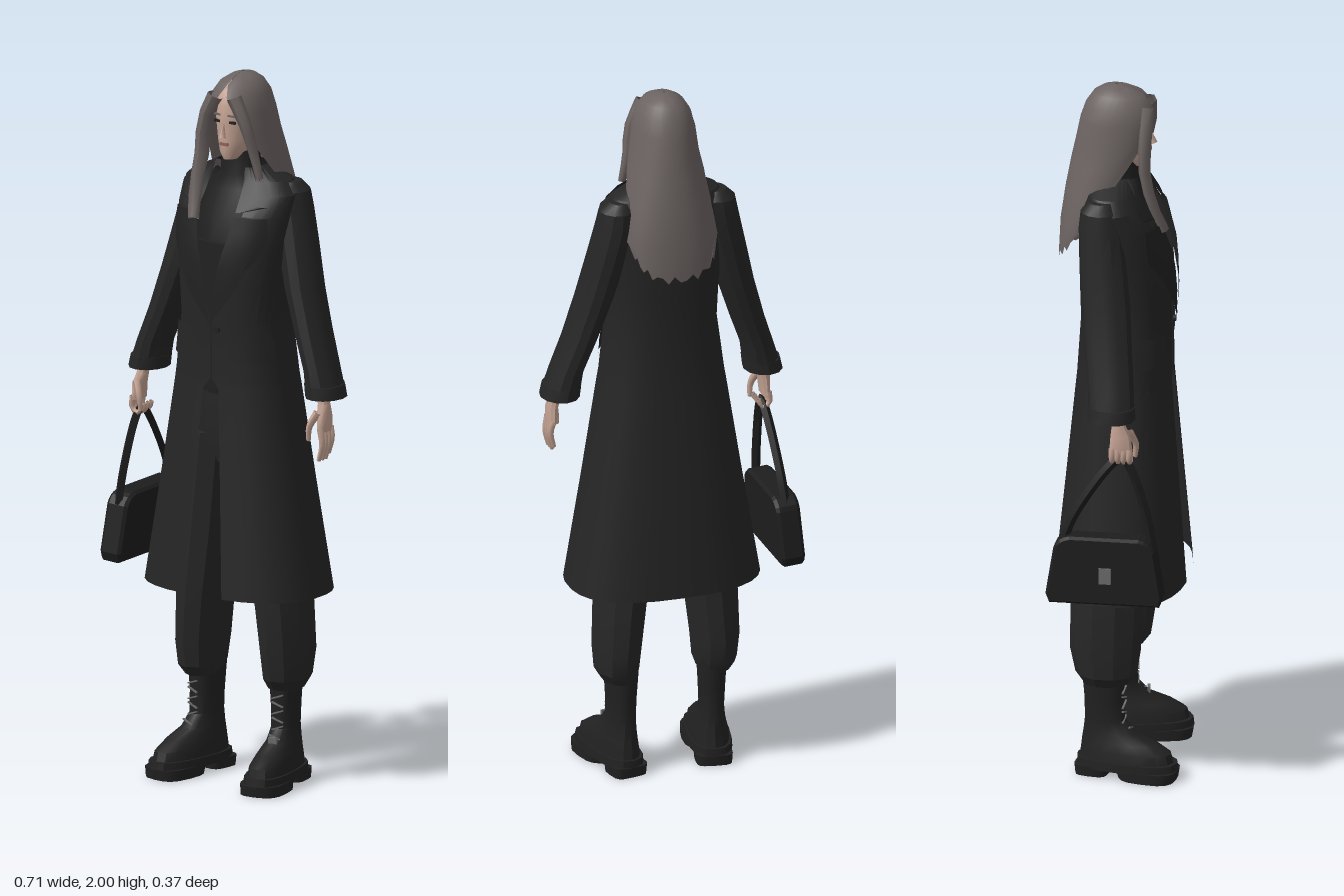
import * as THREE from 'three';
import { toCreasedNormals } from 'three/addons/utils/BufferGeometryUtils.js';

const mat = (name, color) => {
  const m = new THREE.MeshStandardMaterial({ color, side: THREE.DoubleSide });
  m.name = name;
  return m;
};
const M = {
  coat: mat('coat black', 0x252525), trim: mat('lapel black', 0x212121),
  knit: mat('knit black', 0x1f1f1f), trousers: mat('trouser black', 0x272727),
  boot: mat('boot black', 0x212121), hair: mat('ash hair', 0x6b6361),
  skin: mat('skin', 0xc4a393), bag: mat('bag black', 0x1d1d1d),
  metal: mat('dull metal', 0x6a6a6a), lip: mat('lip rose', 0x8e6258),
};

function add(parent, name, geo, material) {
  const mesh = new THREE.Mesh(geo, material);
  mesh.name = name;
  parent.add(mesh);
  return mesh;
}

// Skin over horizontal rings, bottom to top: [y, centreX, halfWidth, zBack, zFront, openingDegrees]
function loft(rings, { n = 16, e = 2, crease = 0.6, wave = null } = {}) {
  const pos = [], idx = [], open = rings.some(r => r[5]);
  const sp = v => Math.sign(v) * Math.abs(v) ** (2 / e);
  rings.forEach(([y, cx, rx, zb, zf, start = 0], i) => {
    const s = start * Math.PI / 180;
    for (let j = 0; j <= n; j++) {
      const a = s + (j / n) * (2 * Math.PI - 2 * s);
      const dy = wave ? wave(i, j) : 0;
      pos.push(cx + rx * sp(Math.sin(a)), y + dy, (zb + zf) / 2 + (zf - zb) / 2 * sp(Math.cos(a)));
    }
  });
  const w = n + 1;
  for (let i = 0; i < rings.length - 1; i++) for (let j = 0; j < n; j++) {
    const a = i * w + j, b = a + 1, c = a + w, d = c + 1;
    idx.push(a, b, d, a, d, c);
  }
  if (!open) for (const i of [0, rings.length - 1]) {
    const [y, cx, , zb, zf] = rings[i], c = pos.length / 3;
    pos.push(cx, y, (zb + zf) / 2);
    for (let j = 0; j < n; j++) i ? idx.push(c, i * w + j, i * w + j + 1) : idx.push(c, j + 1, j);
  }
  const g = new THREE.BufferGeometry();
  g.setAttribute('position', new THREE.Float32BufferAttribute(pos, 3));
  g.setIndex(idx);
  return toCreasedNormals(g, crease);
}

// Tapered limb through a few points
function taper(points, r0, r1, flat = 1) {
  const curve = new THREE.CatmullRomCurve3(points.map(p => new THREE.Vector3(...p)));
  const g = new THREE.TubeGeometry(curve, 6, 1, 6), p = g.attributes.position;
  for (let i = 0; i < p.count; i++) {
    const k = Math.floor(i / 7) / 6, c = curve.getPointAt(k), r = r0 + (r1 - r0) * k;
    p.setXYZ(i, c.x + (p.getX(i) - c.x) * r * flat, c.y + (p.getY(i) - c.y) * r, c.z + (p.getZ(i) - c.z) * r);
  }
  g.computeVertexNormals();
  return g;
}

const COAT = [
  [0.55, 0, 0.272, -0.185, 0.185, 10], [0.85, 0, 0.222, -0.155, 0.16, 8],
  [1.13, 0, 0.178, -0.128, 0.137, 5], [1.16, 0, 0.173, -0.125, 0.135, 0.3],
  [1.32, 0, 0.153, -0.115, 0.135, 0.3], [1.42, 0, 0.158, -0.118, 0.138, 6],
  [1.52, 0, 0.168, -0.12, 0.132, 13], [1.62, 0, 0.18, -0.115, 0.105, 20],
  [1.675, 0, 0.183, -0.107, 0.065, 22], [1.71, 0, 0.15, -0.098, 0.045, 28], [1.745, 0, 0.075, -0.075, 0.04, 50],
];

// Depth of the coat's front surface
function coatZ(x, y) {
  let i = 0;
  while (i < COAT.length - 2 && COAT[i + 1][0] < y) i++;
  const a = COAT[i], b = COAT[i + 1], k = (y - a[0]) / (b[0] - a[0]);
  const [rx, zb, zf] = [2, 3, 4].map(q => a[q] + (b[q] - a[q]) * k);
  const t = Math.min(Math.abs(x) / rx, 0.98);
  return (zb + zf) / 2 + (zf - zb) / 2 * (1 - t ** 2.5) ** 0.4;
}

// Cloth strip lying on the coat, rows of [y, inner x, outer x]
function clothStrip(rows, side, lift) {
  const pos = [], idx = [], n = 5;
  rows.forEach(([y, x0, x1], i) => {
    for (let j = 0; j <= n; j++) {
      const x = x0 + (x1 - x0) * j / n;
      pos.push(side * x, y, coatZ(x, y) + lift);
      if (i && j) {
        const d = i * (n + 1) + j, c = d - 1, b = d - n - 1, a = b - 1;
        side > 0 ? idx.push(a, b, d, a, d, c) : idx.push(a, d, b, a, c, d);
      }
    }
  });
  const g = new THREE.BufferGeometry();
  g.setAttribute('position', new THREE.Float32BufferAttribute(pos, 3));
  g.setIndex(idx);
  return toCreasedNormals(g, 0.5);
}

function boot(side) {
  const g = new THREE.Group();
  g.name = side > 0 ? 'leftBoot' : 'rightBoot';
  add(g, 'upper', loft([
    [0.04, 0, 0.056, -0.108, 0.165], [0.075, 0, 0.052, -0.103, 0.155], [0.1, 0, 0.045, -0.1, 0.115],
    [0.125, 0, 0.038, -0.096, 0.055], [0.16, 0, 0.034, -0.092, 0.022], [0.22, 0, 0.037, -0.092, 0.018],
    [0.31, 0, 0.042, -0.1, 0.024]], { e: 2.3 }), M.boot);
  add(g, 'welt', loft([[0.025, 0, 0.062, -0.115, 0.175], [0.05, 0, 0.06, -0.113, 0.172]], { e: 2.6 }), M.boot);
  add(g, 'heel', loft([[0, 0, 0.05, -0.112, -0.02], [0.03, 0, 0.052, -0.115, -0.015]], { e: 4 }), M.boot);
  add(g, 'foreSole', loft([[0, 0, 0.062, 0.01, 0.17], [0.03, 0, 0.062, 0, 0.175]], { e: 3 }), M.boot);
  for (let i = 0; i < 6; i++) { // laces
    const lace = add(g, 'lace', new THREE.BoxGeometry(0.036, 0.004, 0.005), M.metal);
    lace.position.set(0, 0.14 + i * 0.022, i ? 0.021 : 0.04);
    lace.rotation.z = i % 2 ? 0.35 : -0.35;
  }
  if (side > 0) add(g, 'buckle', new THREE.BoxGeometry(0.026, 0.024, 0.008), M.metal).position.set(0, 0.13, 0.05);
  g.position.x = side * 0.138;
  g.rotation.y = side * 0.17;
  return g;
}

function hand(side) {
  const g = new THREE.Group(), left = side > 0;
  g.name = left ? 'leftHand' : 'rightHand';
  const X = side * 0.302;
  add(g, 'palm', loft([[1.035, X + side * 0.008, 0.013, 0.002, 0.066], [1.08, X + side * 0.006, 0.017, 0.005, 0.062],
    [1.11, X, 0.017, 0.008, 0.046], [1.16, X - side * 0.005, 0.02, 0.005, 0.045]], { n: 10 }), M.skin);
  for (let i = 0; i < 4; i++) {
    const z = 0.01 + i * 0.016, drop = i === 0 ? 0.012 : 0;
    add(g, 'finger', taper(left
      ? [[X + 0.009, 1.045, z], [X + 0.016, 1.0 + drop, z + 0.002], [X + 0.006, 0.955 + drop, z + 0.004]]
      : [[X - 0.012, 1.045, z], [X - 0.014, 1.01, z], [X + 0.008, 1.0, z], [X + 0.016, 1.025, z]], 0.0095, 0.006), M.skin);
  }
  add(g, 'thumb', taper([[X, 1.09, 0.058], [X - side * 0.018, 1.05, 0.072], [X - side * 0.022, 1.01, 0.07]], 0.012, 0.006), M.skin);
  return g;
}

function handbag() {
  const g = new THREE.Group();
  g.name = 'handbag';
  const s = new THREE.Shape();
  s.moveTo(-0.15, -0.09);
  s.lineTo(0.145, -0.09);
  s.lineTo(0.152, -0.07);
  s.lineTo(0.13, 0.06);
  s.quadraticCurveTo(0.12, 0.085, 0.09, 0.09);
  s.lineTo(-0.1, 0.09);
  s.quadraticCurveTo(-0.13, 0.085, -0.138, 0.06);
  s.lineTo(-0.158, -0.07);
  const body = new THREE.ExtrudeGeometry(s, { depth: 0.05, bevelSize: 0.007, bevelThickness: 0.009, bevelSegments: 1, curveSegments: 4 });
  body.translate(0, 0, -0.025).rotateY(-Math.PI / 2);
  add(g, 'bagBody', body, M.bag);
  add(g, 'clasp', new THREE.BoxGeometry(0.008, 0.045, 0.034), M.metal).position.set(-0.036, -0.01, 0);
  g.position.set(-0.322, 0.688, -0.004);
  g.rotation.z = -0.06;
  return g;
}

export function createModel() {
  const root = new THREE.Group();
  root.name = 'womanInLongCoat';

  // Clothing on the trunk
  add(root, 'coatBody', loft(COAT, { n: 28, e: 2.5, crease: 0.35 }), M.coat);
  add(root, 'knitTop', loft([[1.1, 0, 0.13, -0.09, 0.085], [1.3, 0, 0.125, -0.09, 0.095], [1.5, 0, 0.135, -0.095, 0.105],
    [1.6, 0, 0.135, -0.09, 0.085], [1.68, 0, 0.1, -0.075, 0.055], [1.72, 0, 0.058, -0.065, 0.045],
    [1.785, 0, 0.052, -0.06, 0.04]], { n: 18 }), M.knit);
  add(root, 'bodice', loft([[1.12, 0, 0.135, -0.09, 0.098], [1.32, 0, 0.13, -0.09, 0.112], [1.535, 0, 0.138, -0.095, 0.112]],
    { n: 18 }), M.trim);
  add(root, 'hips', loft([[0.9, 0, 0.11, -0.105, 0.06], [0.97, 0, 0.145, -0.115, 0.08], [1.16, 0, 0.14, -0.1, 0.085]]), M.trousers);
  add(root, 'coatButton', new THREE.CylinderGeometry(0.009, 0.009, 0.008, 10).rotateX(Math.PI / 2), M.trim).position.set(0.02, 1.3, 0.138);

  for (const side of [1, -1]) {
    const tag = side > 0 ? 'left' : 'right';
    add(root, tag + 'Lapel', clothStrip([[1.32, 0, 0.004], [1.4, 0.012, 0.07], [1.47, 0.026, 0.115], [1.53, 0.042, 0.15],
      [1.58, 0.055, 0.152], [1.62, 0.06, 0.15]], side, 0.012), M.trim);
    add(root, tag + 'Collar', clothStrip([[1.632, 0.062, 0.075], [1.65, 0.06, 0.145], [1.675, 0.058, 0.142],
      [1.71, 0.056, 0.115], [1.745, 0.05, 0.073]], side, 0.014), M.trim);
    add(root, tag + 'PocketFlap', clothStrip([[1.21, 0.115, 0.165], [1.25, 0.1, 0.162], [1.3, 0.095, 0.15]], side, 0.01), M.coat);

    // Sleeves
    const sleeve = [[1.13, 0.294, 0.053, -0.058, 0.07], [1.2, 0.278, 0.046, -0.062, 0.066], [1.3, 0.242, 0.048, -0.075, 0.056],
      [1.42, 0.204, 0.052, -0.088, 0.046], [1.54, 0.172, 0.056, -0.1, 0.03], [1.63, 0.15, 0.057, -0.105, 0.018],
      [1.68, 0.145, 0.051, -0.1, 0.008], [1.705, 0.14, 0.03, -0.08, -0.012]];
    add(root, tag + 'Sleeve', loft(sleeve.map(([y, x, ...r]) => [y, side * x, ...r]), { n: 12, crease: 0.5 }), M.coat);
    add(root, tag + 'Cuff', loft([[1.125, side * 0.295, 0.055, -0.06, 0.072], [1.16, side * 0.289, 0.053, -0.06, 0.071]], { n: 12 }), M.coat);
    root.add(hand(side), boot(side));

    // Gathered trouser legs
    const leg = [[0.27, 0.138, 0.046, -0.095, 0.032], [0.3, 0.142, 0.06, -0.115, 0.055], [0.37, 0.142, 0.066, -0.13, 0.066],
      [0.5, 0.132, 0.072, -0.13, 0.072], [0.7, 0.108, 0.08, -0.125, 0.076], [0.98, 0.075, 0.076, -0.11, 0.08]];
    add(root, tag + 'TrouserLeg', loft(leg.map(([y, x, ...r]) => [y, side * x, ...r]), { n: 10, crease: 0.4 }), M.trousers);
  }

  // Head and face
  add(root, 'head', loft([[1.765, 0, 0.02, 0.0, 0.066], [1.785, 0, 0.036, -0.04, 0.073], [1.82, 0, 0.05, -0.075, 0.073],
    [1.87, 0, 0.06, -0.095, 0.074], [1.92, 0, 0.064, -0.1, 0.076], [1.955, 0, 0.055, -0.085, 0.06],
    [1.975, 0, 0.025, -0.05, 0.02]], { n: 18, crease: 1 }), M.skin);
  const nose = add(root, 'nose', new THREE.ConeGeometry(0.012, 0.042, 4), M.skin);
  nose.position.set(0, 1.85, 0.077);
  nose.rotation.x = -0.2;
  add(root, 'mouth', new THREE.BoxGeometry(0.026, 0.008, 0.008), M.lip).position.set(0, 1.81, 0.072);
  for (const side of [1, -1]) {
    add(root, 'eye', new THREE.BoxGeometry(0.02, 0.007, 0.006), M.knit).position.set(side * 0.025, 1.873, 0.068);
    add(root, 'brow', new THREE.BoxGeometry(0.028, 0.005, 0.006), M.hair).position.set(side * 0.026, 1.892, 0.07);
  }

  // Long hair with a ragged hem, and the locks framing the face
  const rag = (i, j) => (i === 0 ? 0.012 * Math.sin(j * 2.4) + 0.0007 * (j - 12) ** 2 : 0);
  add(root, 'hair', loft([[1.5, 0.005, 0.118, -0.178, -0.06, 82], [1.6, 0.005, 0.13, -0.174, -0.02, 80],
    [1.7, 0.004, 0.118, -0.16, 0.03, 72], [1.78, 0.003, 0.105, -0.145, 0.065, 56], [1.84, 0.002, 0.093, -0.132, 0.085, 42],
    [1.9, 0, 0.085, -0.12, 0.09, 29], [1.945, 0, 0.074, -0.105, 0.082, 10], [1.975, 0, 0.055, -0.085, 0.056, 1],
    [1.992, 0, 0.03, -0.06, 0.02, 1], [1.999, 0, 0.002, -0.025, -0.015, 1]], { n: 24, e: 2.1, crease: 0.9, wave: rag }), M.hair);
  add(root, 'longLock', taper([[-0.03, 1.945, 0.068], [-0.066, 1.87, 0.068], [-0.078, 1.77, 0.068], [-0.083, 1.68, 0.09],
    [-0.068, 1.6, 0.122]], 0.02, 0.013, 1.3), M.hair);
  add(root, 'shortLock', taper([[0.03, 1.945, 0.068], [0.067, 1.87, 0.066], [0.083, 1.79, 0.05], [0.1, 1.72, 0.045]], 0.019, 0.009, 1.2), M.hair);

  // Handbag hanging from the right hand
  root.add(handbag());
  const strapPath = new THREE.CatmullRomCurve3([[-0.317, 0.75, 0.125], [-0.313, 0.84, 0.108], [-0.305, 0.98, 0.062], [-0.302, 1.015, 0.035],
    [-0.305, 0.985, 0.0], [-0.313, 0.84, -0.095], [-0.317, 0.75, -0.13]].map(p => new THREE.Vector3(...p)));
  add(root, 'bagStrap', toCreasedNormals(new THREE.TubeGeometry(strapPath, 28, 0.013, 4), 0.5), M.bag);
  return root;
}
